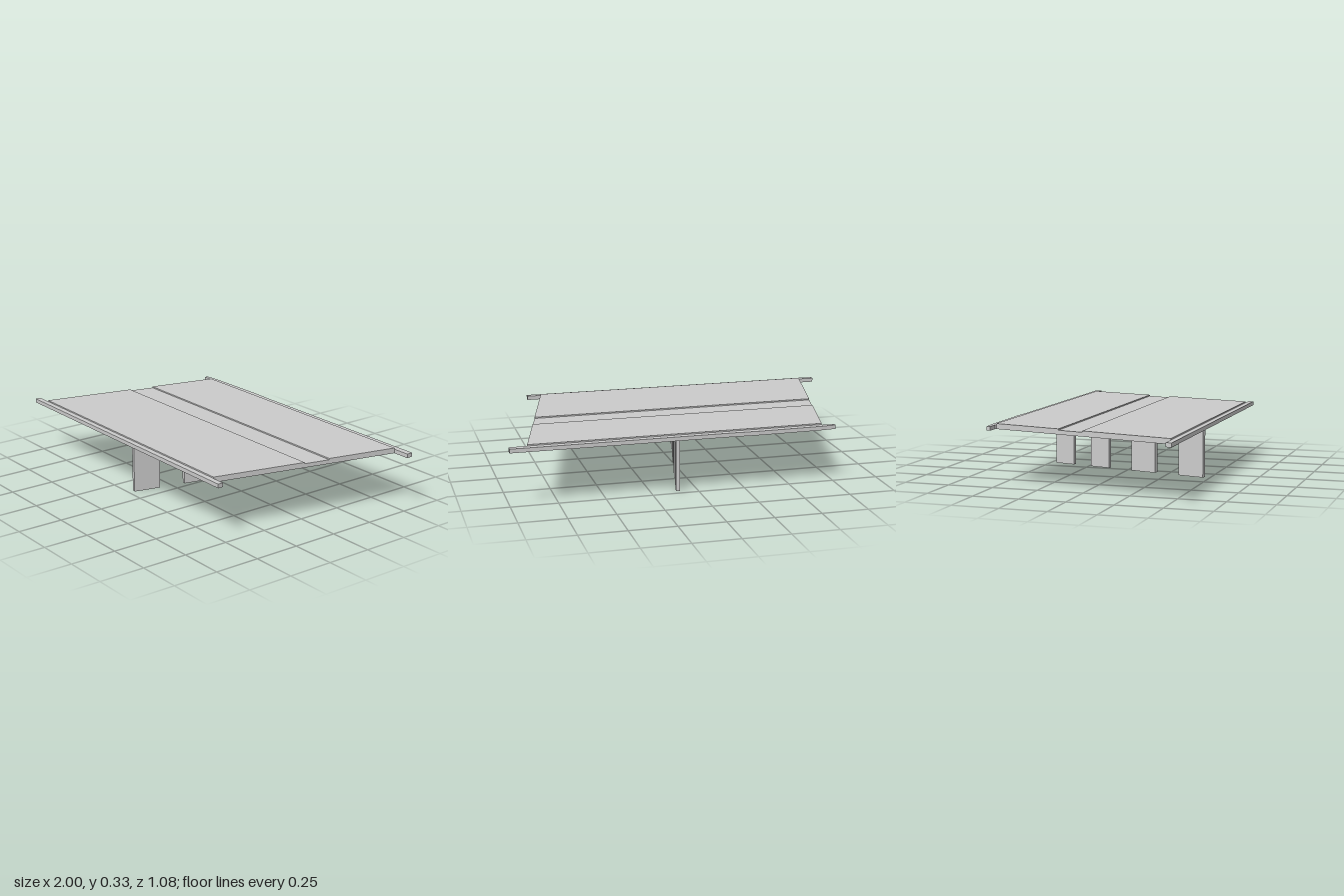
import * as THREE from 'three';

const material = new THREE.MeshStandardMaterial({ color: 0xcccccc, flatShading: true });

// Vertical prism from a plan outline of [x, z] points
function slab(name, outline, bottom, top) {
  const shape = new THREE.Shape(outline.map(([x, z]) => new THREE.Vector2(x, -z)));
  const geometry = new THREE.ExtrudeGeometry(shape, { depth: top - bottom, bevelEnabled: false });
  geometry.rotateX(-Math.PI / 2).translate(0, bottom, 0);
  const mesh = new THREE.Mesh(geometry, material);
  mesh.name = name;
  return mesh;
}

const BASE = 0.297, LOW = 0.319, HIGH = 0.326;
const FRONT = 0.51, BACK = -0.505;

// Skewed ends of the deck
const along = (z) => (FRONT - z) / (FRONT - BACK);
const leftEnd = (z) => 0.663 + 0.242 * along(z);
const rightEnd = (z) => -0.911 + 0.235 * along(z);

function deckStrip(name, z0, z1, top) {
  return slab(name, [
    [rightEnd(z0), z0], [leftEnd(z0), z0], [leftEnd(z1), z1], [rightEnd(z1), z1],
  ], BASE, top);
}

export function createModel() {
  const model = new THREE.Group();
  model.name = 'skewedBridge';

  // Two raised carriageways with a lower median between them
  model.add(
    deckStrip('frontCarriageway', FRONT, 0.013, HIGH),
    deckStrip('median', 0.013, -0.126, LOW),
    deckStrip('backCarriageway', -0.126, BACK, HIGH),
  );

  // Edge beams run past the deck ends; the back one bows slightly
  model.add(slab('frontEdgeBeam', [[-1, 0.54], [0.74, 0.54], [0.74, FRONT], [-1, FRONT]], BASE, LOW));
  model.add(slab('backEdgeBeam', [
    [-0.745, -0.51], [-0.68, -0.51], [-0.676, BACK], [1, BACK], [1, -0.54],
    [-0.17, -0.54], [-0.3, -0.544], [-0.42, -0.542], [-0.65, -0.538], [-0.745, -0.53],
  ], BASE, LOW));

  // Wall piers, turned to follow the skew: x, z, thickness, length
  const piers = [
    [-0.094, 0.391, 0.025, 0.151],
    [-0.027, 0.101, 0.025, 0.151],
    [0.041, -0.177, 0.021, 0.119],
    [0.093, -0.406, 0.021, 0.119],
  ];
  piers.forEach(([x, z, thickness, length], i) => {
    const pier = new THREE.Mesh(new THREE.BoxGeometry(thickness, BASE, length), material);
    pier.name = `pier${i + 1}`;
    pier.position.set(x, BASE / 2, z);
    pier.rotation.y = -Math.atan(0.235);
    model.add(pier);
  });

  return model;
}
